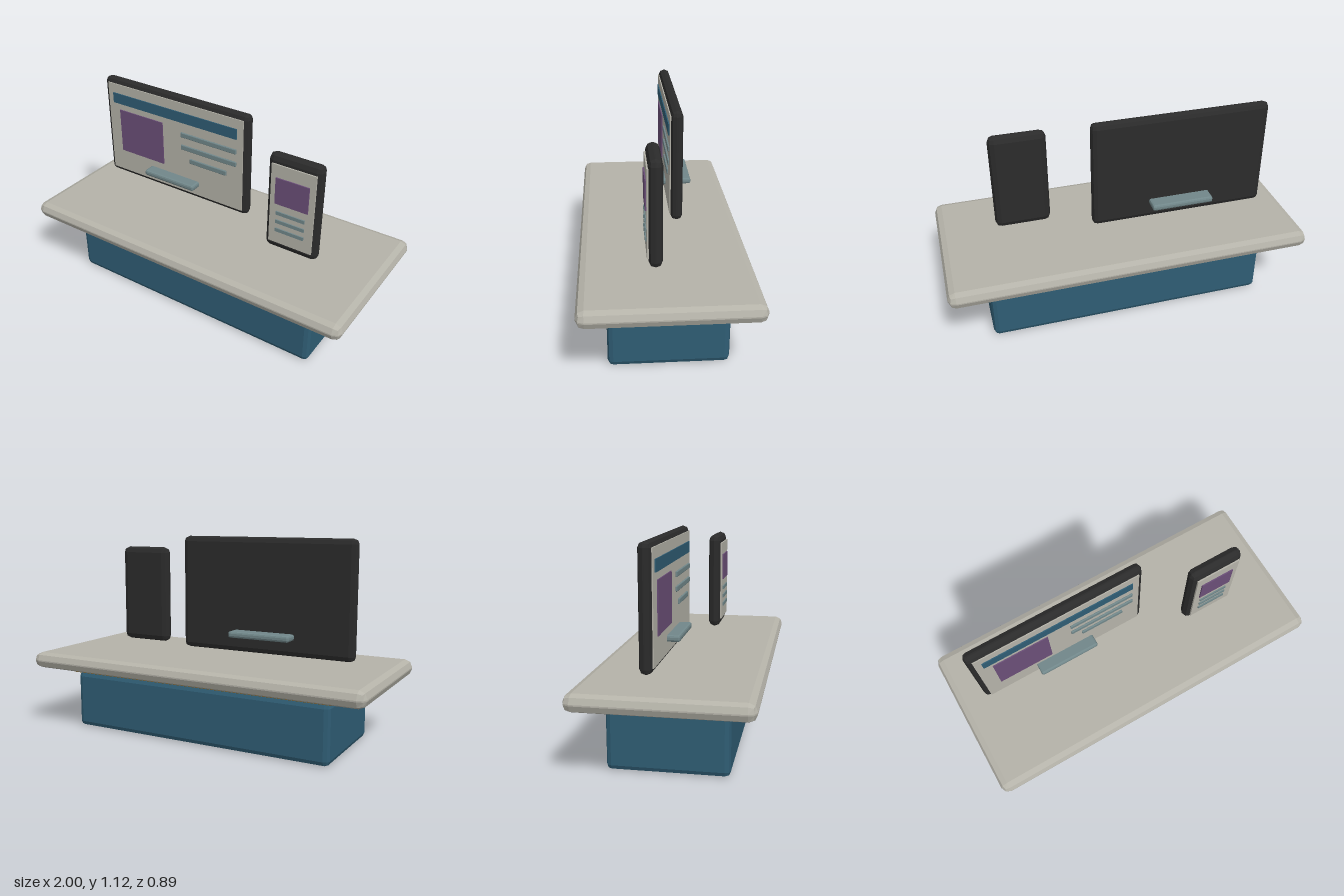
import * as THREE from 'three';
import { RoundedBoxGeometry } from 'three/addons/geometries/RoundedBoxGeometry.js';

const material = (name, color) => {
  const m = new THREE.MeshStandardMaterial({ color, flatShading: true });
  m.name = name;
  return m;
};

export function createModel() {
  const stone = material('warm grey', 0xb5b3a9);
  const blue = material('deep blue', 0x2f5d74);
  const gold = material('brass', 0xb0852f);
  const black = material('charcoal', 0x2b2b2b);
  const purple = material('plum', 0x6b4f78);
  const slate = material('slate', 0x71878a);

  const model = new THREE.Group();
  model.name = 'displayCounter';

  // Bevelled block given by its extents on each axis
  const block = (parent, name, mat, [x0, x1], [y0, y1], [z0, z1], bevel) => {
    const size = [x1 - x0, y1 - y0, z1 - z0];
    const geometry = bevel
      ? new RoundedBoxGeometry(...size, 1, bevel)
      : new THREE.BoxGeometry(...size);
    const mesh = new THREE.Mesh(geometry, mat);
    mesh.name = name;
    mesh.position.set((x0 + x1) / 2, (y0 + y1) / 2, (z0 + z1) / 2);
    parent.add(mesh);
    return mesh;
  };

  // Counter
  const counter = new THREE.Group();
  counter.name = 'counter';
  model.add(counter);
  block(counter, 'base', blue, [-0.78, 0.78], [0, 0.327], [-0.306, 0.306], 0.028);
  block(counter, 'trim', gold, [-0.8, 0.8], [0.325, 0.36], [-0.326, 0.326], 0.009);
  block(counter, 'worktop', stone, [-1, 1], [0.352, 0.443], [-0.447, 0.447], 0.042);

  // Wide monitor with page layout
  const monitor = new THREE.Group();
  monitor.name = 'monitor';
  model.add(monitor);
  block(monitor, 'monitorCase', black, [-0.835, 0.162], [0.502, 1.122], [-0.122, -0.058], 0.028);
  block(monitor, 'monitorScreen', stone, [-0.805, 0.133], [0.532, 1.094], [-0.06, -0.052]);
  block(monitor, 'headerBar', blue, [-0.768, 0.094], [0.976, 1.038], [-0.054, -0.046]);
  block(monitor, 'picturePanel', purple, [-0.724, -0.41], [0.669, 0.937], [-0.054, -0.046]);
  [[-0.28, 0.094, 0.9], [-0.28, 0.094, 0.822], [-0.22, 0.03, 0.746]].forEach(([x0, x1, y], i) =>
    block(monitor, `textLine${i + 1}`, slate, [x0, x1], [y - 0.015, y + 0.015], [-0.055, -0.043], 0.004));
  block(monitor, 'monitorLedge', slate, [-0.51, -0.16], [0.59, 0.624], [-0.2, 0.014], 0.011);

  // Upright phone
  const phone = new THREE.Group();
  phone.name = 'phone';
  model.add(phone);
  block(phone, 'phoneCase', black, [0.37, 0.68], [0.485, 1.047], [0.022, 0.093], 0.033);
  block(phone, 'phoneScreen', stone, [0.4, 0.654], [0.532, 1.0], [0.092, 0.101]);
  block(phone, 'phonePicture', purple, [0.43, 0.622], [0.775, 0.928], [0.1, 0.108]);
  [0.72, 0.668, 0.616].forEach((y, i) =>
    block(phone, `phoneLine${i + 1}`, slate, [0.44, 0.607], [y - 0.01, y + 0.01], [0.1, 0.108]));

  return model;
}
